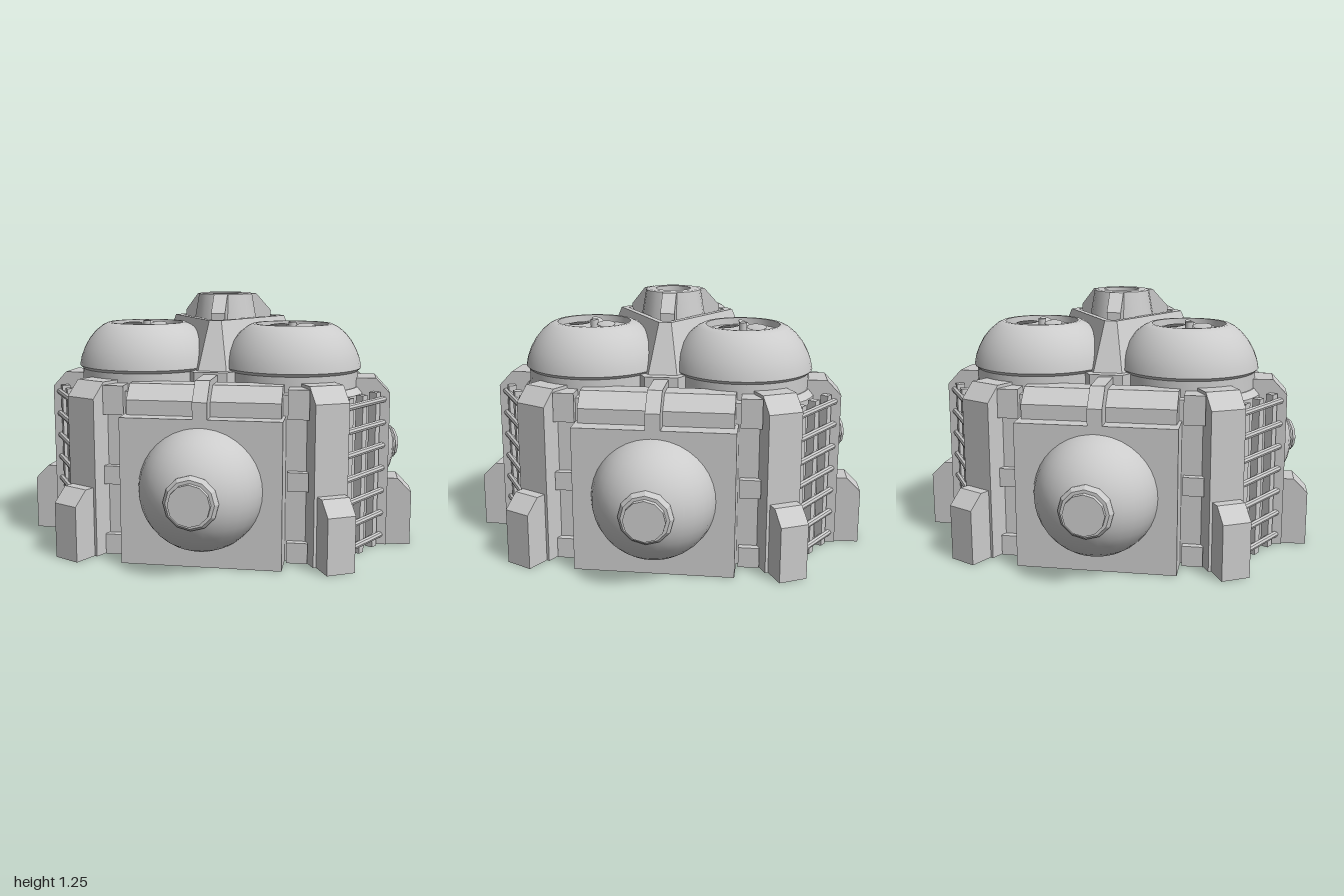
import * as THREE from 'three';
import { toCreasedNormals } from 'three/addons/utils/BufferGeometryUtils.js';

const mat = new THREE.MeshStandardMaterial({ color: 0xcccccc });
const flat = new THREE.MeshStandardMaterial({ color: 0xcccccc, flatShading: true });

function add(parent, name, geo, material = flat) {
  const m = new THREE.Mesh(geo, material);
  m.name = name;
  parent.add(m);
  return m;
}

// Box given by its min/max on each axis
function block(parent, name, x0, x1, y0, y1, z0, z1) {
  const m = add(parent, name, new THREE.BoxGeometry(x1 - x0, y1 - y0, z1 - z0));
  m.position.set((x0 + x1) / 2, (y0 + y1) / 2, (z0 + z1) / 2);
  return m;
}

// Side profile of [outward, y] points, extruded to a width across x
function profile(parent, name, pts, width) {
  const shape = new THREE.Shape(pts.map(p => new THREE.Vector2(...p)));
  const geo = new THREE.ExtrudeGeometry(shape, { depth: width, bevelEnabled: false });
  geo.translate(0, 0, -width / 2).rotateY(-Math.PI / 2);
  return add(parent, name, geo);
}

const lathe = (pts, seg) => toCreasedNormals(
  new THREE.LatheGeometry(pts.map(p => new THREE.Vector2(...p)), seg), 0.55);

// Loft through blunt triangles [corner distance, corner half width, y], closed on top
function bluntTriangle(parent, name, levels) {
  const rings = levels.map(([r, h, y]) => {
    const ring = [];
    for (let k = 0; k < 3; k++) {
      for (const x of [-h, h]) {
        ring.push(new THREE.Vector3(x, y, r).applyAxisAngle(new THREE.Vector3(0, 1, 0), k * Math.PI * 2 / 3));
      }
    }
    return ring;
  });
  const tris = [];
  for (let j = 0; j < rings.length - 1; j++) {
    for (let i = 0; i < 6; i++) {
      const n = (i + 1) % 6, lo = rings[j], hi = rings[j + 1];
      tris.push(lo[i], lo[n], hi[n], lo[i], hi[n], hi[i]);
    }
  }
  const top = rings[rings.length - 1];
  const centre = new THREE.Vector3(0, top[0].y, 0);
  for (let i = 0; i < 6; i++) tris.push(centre, top[i], top[(i + 1) % 6]);
  const geo = new THREE.BufferGeometry().setFromPoints(tris);
  geo.computeVertexNormals();
  return add(parent, name, geo);
}

// Flat side: panel, trim, clips and the bulging tank
function buildSide() {
  const g = new THREE.Group();
  g.name = 'side';
  block(g, 'panel', -0.38, 0.38, 0, 0.70, 0.52, 0.755);
  profile(g, 'trimBar', [[0.5, 0.68], [0.675, 0.68], [0.675, 0.77], [0.605, 0.84], [0.5, 0.84]], 0.73);
  profile(g, 'centreClip', [[0.44, 0.7], [0.76, 0.7], [0.76, 0.78], [0.68, 0.87], [0.44, 0.87]], 0.07);
  for (const s of [-1, 1]) {
    for (const [y0, y1] of [[0, 0.1], [0.35, 0.44], [0.69, 0.83]]) {
      const c = block(g, 'wallClip', -0.05, 0.05, y0, y1, 0.53, 0.635);
      c.position.x = s * 0.44;
    }
  }
  const tank = add(g, 'tank', new THREE.SphereGeometry(0.295, 32, 20), mat);
  tank.position.set(0, 0.37, 0.705);
  const cap = add(g, 'tankCap', lathe(
    [[0.125, -0.06], [0.125, 0], [0.11, 0.02], [0.095, 0.02], [0.095, 0.045], [0, 0.045]], 12));
  cap.rotation.x = Math.PI / 2;
  cap.position.set(0, 0.37, 0.98);
  return g;
}

// Corner: silo with domed fan, posts, buttresses and ladder
function buildCorner() {
  const g = new THREE.Group();
  g.name = 'corner';
  add(g, 'silo', lathe([
    [0, 0.1], [0.345, 0.1], [0.345, 0], [0.36, 0], [0.36, 0.77], [0.335, 0.8], [0.33, 0.8],
    [0.33, 0.875], [0.345, 0.89], [0.337, 0.93], [0.32, 0.975], [0.295, 1.02], [0.262, 1.06],
    [0.225, 1.09], [0.198, 1.103], [0.182, 1.103], [0.18, 1.07], [0, 1.07]], 40), mat);

  // Fan
  const hub = add(g, 'fanHub', new THREE.CylinderGeometry(0.02, 0.02, 0.04, 12), mat);
  hub.position.y = 1.09;
  for (let k = 0; k < 3; k++) {
    const arm = new THREE.Group();
    arm.name = 'fanBlade';
    arm.rotation.y = k * Math.PI * 2 / 3;
    const blade = add(arm, 'blade', new THREE.SphereGeometry(1, 12, 8), mat);
    blade.scale.set(0.03, 0.005, 0.056);
    blade.position.set(0, 1.095, 0.078);
    blade.rotation.z = 0.4;
    g.add(arm);
  }

  // Radial posts and buttresses
  for (const s of [-1, 1]) {
    const arm = new THREE.Group();
    arm.name = 'support';
    arm.rotation.y = s * THREE.MathUtils.degToRad(32.5);
    profile(arm, 'post', [[0.28, 0], [0.485, 0], [0.485, 0.77], [0.415, 0.845], [0.28, 0.845]], 0.17);
    profile(arm, 'buttress', [[0.4, 0], [0.605, 0], [0.605, 0.27], [0.535, 0.34], [0.4, 0.34]], 0.14);
    g.add(arm);
  }

  // Ladder
  for (const x of [-0.125, 0, 0.125]) {
    block(g, 'ladderRail', x - 0.02, x + 0.02, 0, 0.78, 0.385, 0.425);
  }
  for (let i = 0; i < 7; i++) {
    const rung = add(g, 'ladderRung', new THREE.CylinderGeometry(0.016, 0.016, 0.38, 8));
    rung.rotation.z = Math.PI / 2;
    rung.position.set(0, 0.05 + i * 0.115, 0.425);
  }
  return g;
}

// Central tower with open chimney and three fins
function buildTower() {
  const g = new THREE.Group();
  g.name = 'tower';
  bluntTriangle(g, 'towerPlate', [[0.47, 0.08, 0.79], [0.47, 0.08, 0.88]]);
  bluntTriangle(g, 'towerBody', [[0.42, 0.07, 0.88], [0.325, 0.03, 1.12], [0.285, 0.018, 1.12], [0.255, 0.015, 1.05]]);
  add(g, 'chimney', lathe(
    [[0.175, 1.04], [0.14, 1.24], [0.13, 1.245], [0.09, 1.245], [0.085, 1.1], [0, 1.1]], 20), mat);
  for (let k = 0; k < 3; k++) {
    const fin = profile(g, 'chimneyFin',
      [[0.12, 1.04], [0.245, 1.04], [0.245, 1.15], [0.16, 1.24], [0.12, 1.24]], 0.07);
    fin.rotation.y = k * Math.PI * 2 / 3;
  }
  return g;
}

export function createModel() {
  const root = new THREE.Group();
  root.name = 'reactorBuilding';
  const body = new THREE.Group();
  body.name = 'building';
  body.position.z = -0.025;
  root.add(body);

  // Hull walls and deck, open underneath
  bluntTriangle(body, 'hull', [[0.6, 0.5, 0], [0.6, 0.5, 0.8]]);
  body.add(buildTower());

  for (let k = 0; k < 3; k++) {
    const side = buildSide();
    side.rotation.y = k * Math.PI * 2 / 3;
    body.add(side);

    const a = Math.PI + k * Math.PI * 2 / 3;
    const corner = buildCorner();
    corner.rotation.y = a;
    corner.position.set(Math.sin(a) * 0.43, 0, Math.cos(a) * 0.43);
    body.add(corner);
  }
  return root;
}
